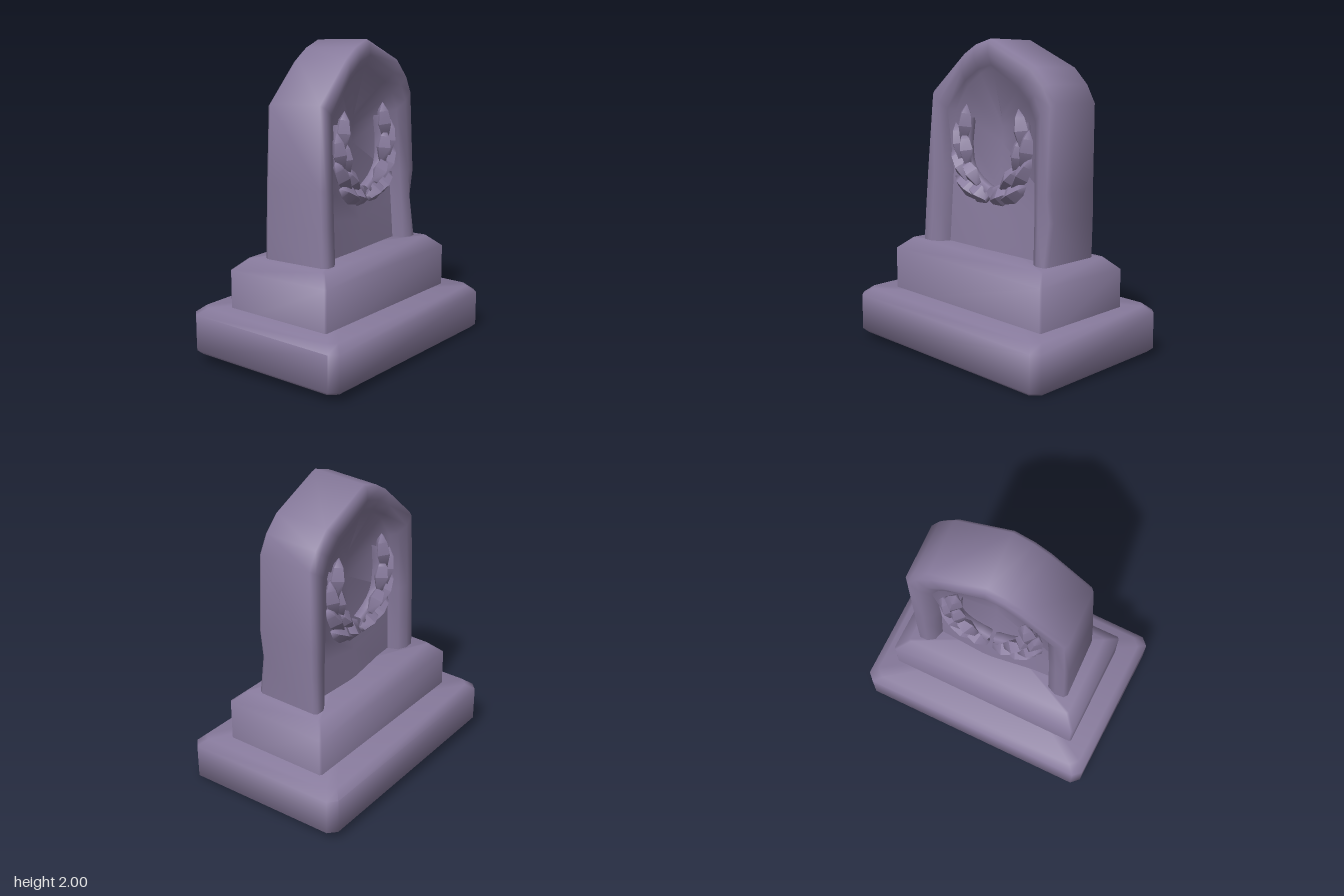
import * as THREE from 'three';
import { toCreasedNormals } from 'three/addons/utils/BufferGeometryUtils.js';

const stone = new THREE.MeshStandardMaterial({ color: 0x877a9c });
stone.name = 'violet stone';

// Skin a list of cross-sections (arrays of [x, y, z]); closed joins each section's ends
function skin(rings, closed, crease) {
  const pos = [];
  const same = (p, q) => p.every((v, k) => Math.abs(v - q[k]) < 1e-6);
  const tri = (a, b, c) => {
    if (!same(a, b) && !same(b, c) && !same(a, c)) pos.push(...a, ...b, ...c);
  };
  for (let i = 0; i < rings.length - 1; i++) {
    const r = rings[i], s = rings[i + 1], n = r.length;
    for (let j = 0; j < (closed ? n : n - 1); j++) {
      const k = (j + 1) % n;
      tri(r[j], r[k], s[k]);
      tri(r[j], s[k], s[j]);
    }
  }
  const g = new THREE.BufferGeometry();
  g.setAttribute('position', new THREE.Float32BufferAttribute(pos, 3));
  return toCreasedNormals(g, crease);
}

function addMesh(parent, name, geometry) {
  const m = new THREE.Mesh(geometry, stone);
  m.name = name;
  parent.add(m);
  return m;
}

// Crooked slab with cut corners; layers are [height, inset], tilt is y per x and per z
function slab(corners, cut, layers, tilt) {
  const ring = ([y, inset]) => corners.flatMap(([x, z], i) =>
    [corners[(i + 3) % 4], corners[(i + 1) % 4]].map(([nx, nz]) => {
      const d = cut / Math.hypot(nx - x, nz - z);
      const px = x + (nx - x) * d - Math.sign(x) * inset;
      const pz = z + (nz - z) * d - Math.sign(z) * inset;
      return [px, y + tilt[0] * px + tilt[1] * pz, pz];
    }));
  const cap = y => Array.from({ length: 8 }, () => [0, y, 0]);
  return skin([cap(layers[0][0]), ...layers.map(ring), cap(layers.at(-1)[0])], true, 1.2);
}

// Arch outlines, from bottom left over the peak to bottom right
const outer = [[-0.535, 0.6], [-0.525, 0.92], [-0.515, 1.15], [-0.485, 1.65], [-0.2, 1.9], [-0.1, 1.96],
  [0.03, 2], [0.4, 1.84], [0.5, 1.74], [0.56, 1.63], [0.555, 1.1], [0.555, 0.92], [0.545, 0.6]];
const inner = [[-0.37, 0.6], [-0.362, 0.92], [-0.355, 1.15], [-0.335, 1.53], [-0.2, 1.7], [-0.08, 1.78],
  [0.03, 1.81], [0.23, 1.69], [0.32, 1.61], [0.37, 1.5], [0.39, 1.1], [0.4, 0.92], [0.41, 0.6]];
// Panel depth at the rim, shallower under the arch
const rimSink = [0.1, 0.1, 0.1, 0.08, 0.06, 0.05, 0.045, 0.05, 0.06, 0.08, 0.1, 0.1, 0.1];
// Hollow line up the middle of the panel: height, distance from the core
const spine = [[0.6, 0.155], [0.85, 0.125], [1.05, 0.09], [1.35, 0.065], [1.45, 0.065], [1.5, 0.07], [1.55, 0.08]];

// Face plane of each side: the front leans back, the rear is nearly upright
const faceZ = (side, y) => side > 0 ? Math.max(0.198, 0.245 - 0.05 * (y - 0.68)) : -0.217;

function headstone() {
  // Ring between the outer (t = 0) and inner (t = 1) outline, sunk below the face
  const ring = (side, t, sink) => outer.map(([x, y], i) => {
    // the rear stands a touch lower
    const px = x + (inner[i][0] - x) * t, py = (y + (inner[i][1] - y) * t) * (side > 0 ? 1 : 0.99);
    // chipped edge low on one jamb
    const chip = side > 0 && i === 11 && t < 0.5 ? 0.03 : 0;
    return [px, py, faceZ(side, py) - side * (sink + chip)];
  });
  const rim = side => ring(side, 1, 0).map(([x, y, z], i) => [x, y, z - side * rimSink[i]]);
  const hollow = side => [...spine, ...spine.slice(0, -1).reverse()].map(([y, d]) => [0.03, y, side * d]);
  const half = side => [hollow(side), rim(side), ring(side, 0.85, 0.03),
    ring(side, 0.5, 0), ring(side, 0.12, 0.003), ring(side, 0, 0.028)];
  return skin([...half(1), ...half(-1).reverse()], false, 1.1);
}

// Pointed leaf with a ridge along its length
function leafGeometry() {
  const ring = (y, s) => [[-s, y, 0], [0, y, s], [s, y, 0], [0, y, -s]];
  return skin([ring(-0.5, 0), ring(-0.48, 0.45), ring(-0.05, 1), ring(0.28, 0.7), ring(0.5, 0)], true, 0.9);
}

// Leaves of one branch: x, y, outward lean in degrees, length
const leaves = [[0.1, 1.03, 68, 0.18], [0.2, 1.06, 62, 0.25], [0.17, 1.15, 45, 0.2],
  [0.27, 1.19, 38, 0.25], [0.225, 1.3, 10, 0.22], [0.29, 1.34, 12, 0.25], [0.24, 1.46, -8, 0.25]];

function wreath(side, leaf) {
  const g = new THREE.Group();
  for (const m of [-1, 1]) {
    for (const [x, y, lean, len] of leaves) {
      const mesh = addMesh(g, 'wreathLeaf', leaf);
      mesh.position.set(0.025 + m * x, y, faceZ(side, y) - side * 0.05);
      mesh.rotation.z = -m * lean * Math.PI / 180;
      mesh.scale.set(0.06, len, 0.055);
    }
    const path = [[0.03, 1.04], [0.13, 1.09], [0.22, 1.18], [0.25, 1.32], [0.24, 1.5]].map(([x, y]) =>
      new THREE.Vector3(0.025 + m * x, y, faceZ(side, y) - side * 0.085));
    addMesh(g, 'wreathStem',
      new THREE.TubeGeometry(new THREE.CatmullRomCurve3(path), 10, 0.045, 6));
  }
  return g;
}

export function createModel() {
  const model = new THREE.Group();
  model.name = 'gravestone';

  // Two crooked steps
  addMesh(model, 'lowerStep', slab(
    [[-0.83, 0.59], [0.847, 0.55], [0.775, -0.6], [-0.848, -0.53]], 0.05,
    [[0.035, 0.025], [0.06, 0], [0.29, 0], [0.335, 0.05]], [-0.028, -0.025]));
  addMesh(model, 'upperStep', slab(
    [[-0.66, 0.395], [0.68, 0.35], [0.645, -0.39], [-0.685, -0.34]], 0.012,
    [[0.25, 0], [0.59, 0], [0.665, 0.08]], [-0.025, 0.01]));

  // Arched stone, turned slightly on its base, with a wreath on both faces
  const upper = new THREE.Group();
  upper.name = 'upperStone';
  upper.rotation.y = 0.075;
  model.add(upper);
  addMesh(upper, 'headstone', headstone());
  const leaf = leafGeometry();
  for (const side of [1, -1]) {
    const w = wreath(side, leaf);
    w.name = side > 0 ? 'frontWreath' : 'backWreath';
    upper.add(w);
  }
  return model;
}
